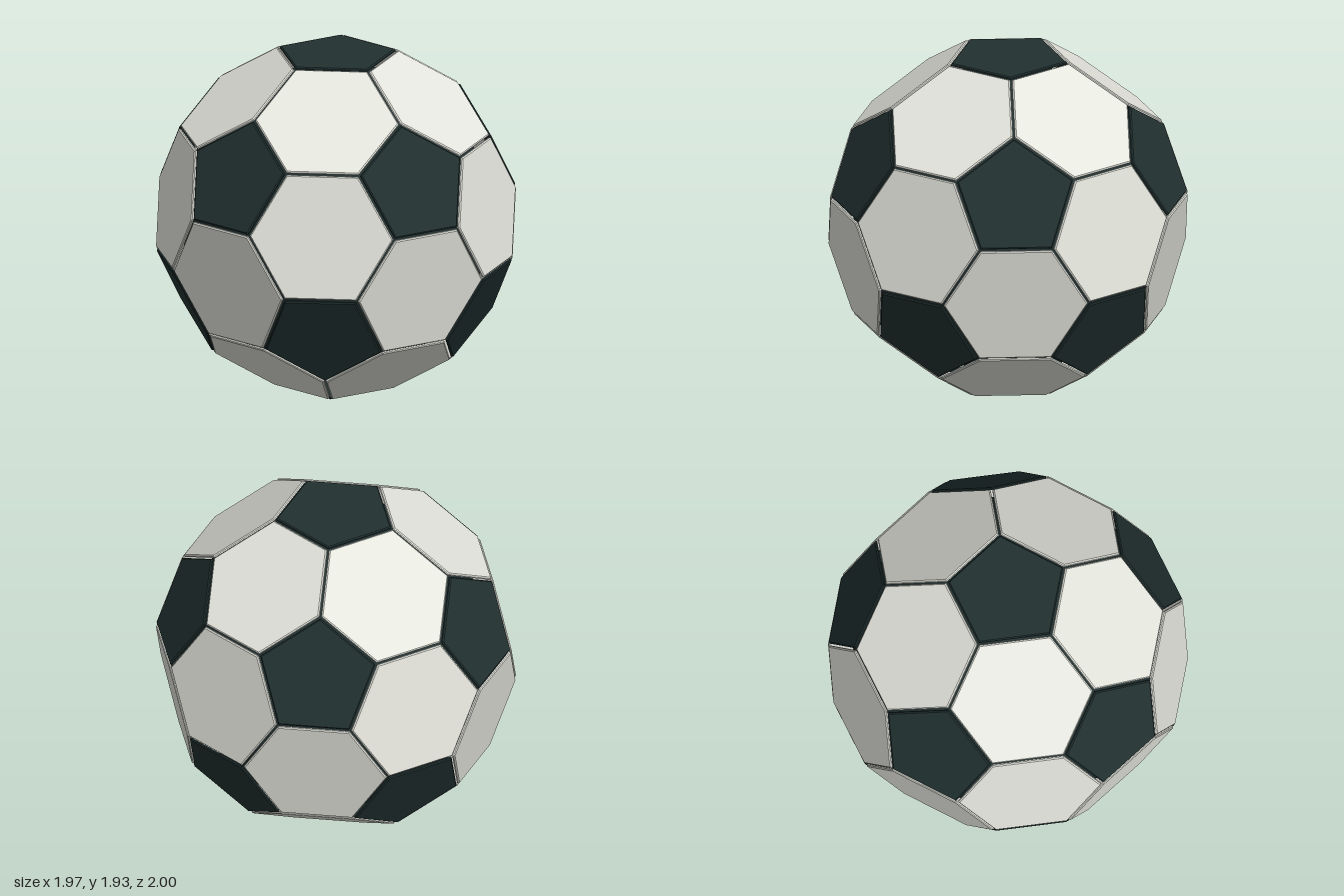
import * as THREE from 'three';

const SIZE = 1.18;      // circumradius of the guiding icosahedron
const HEIGHT = 0.9625;  // centre of the ball above the ground

// Twelve corners: two poles and two staggered rings of five
function icosahedronCorners() {
  const corners = [new THREE.Vector3(0, 1, 0), new THREE.Vector3(0, -1, 0)];
  for (let i = 0; i < 5; i++) {
    for (const [offset, side] of [[0, 1], [Math.PI / 5, -1]]) {
      const a = offset + (i * 2 * Math.PI) / 5;
      corners.push(new THREE.Vector3(2 * Math.cos(a), side, 2 * Math.sin(a)).normalize());
    }
  }
  return corners.map((c) => c.multiplyScalar(SIZE));
}

// Thin regular plate with a chamfered rim; outer face at y = 0, first corner at +z
function plateGeometry(sides, radius) {
  const k = 1 / Math.cos(Math.PI / sides);
  const rim = radius - 0.01 * k;
  const face = radius - 0.016 * k;
  const profile = [[0, -0.014], [rim, -0.014], [rim, -0.006], [face, 0], [0, 0]];
  const lathe = new THREE.LatheGeometry(profile.map(([x, y]) => new THREE.Vector2(x, y)), sides);
  const flat = lathe.toNonIndexed();
  flat.computeVertexNormals();
  return flat;
}

export function createModel() {
  const ball = new THREE.Group();
  ball.name = 'ball';
  const white = new THREE.MeshStandardMaterial({ color: 0xe4e5dd });
  white.name = 'panel white';
  const dark = new THREE.MeshStandardMaterial({ color: 0x213030 });
  dark.name = 'panel dark';

  const corners = icosahedronCorners();
  const edge = SIZE * 1.0515;
  const near = (a, b) => a !== b && a.distanceTo(b) < edge * 1.1;
  const cut = (a, b) => a.clone().lerp(b, 1 / 3);

  const side = edge / 3;
  const pentagon = plateGeometry(5, side * 0.8507);
  const hexagon = plateGeometry(6, side);

  // Places a plate at its centre, turned so a corner meets the given point
  function addPanel(name, geometry, material, centre, corner) {
    const normal = centre.clone().normalize();
    const toCorner = corner.clone().sub(centre).normalize();
    const across = new THREE.Vector3().crossVectors(normal, toCorner);
    const panel = new THREE.Mesh(geometry, material);
    panel.name = name;
    panel.quaternion.setFromRotationMatrix(new THREE.Matrix4().makeBasis(across, normal, toCorner));
    panel.position.copy(centre);
    ball.add(panel);
  }

  // Dark pentagons, one at each corner
  for (const a of corners) {
    const points = corners.filter((b) => near(a, b)).map((b) => cut(a, b));
    const centre = new THREE.Vector3();
    points.forEach((p) => centre.addScaledVector(p, 1 / points.length));
    addPanel('pentagonPanel', pentagon, dark, centre, points[0]);
  }

  // White hexagons, one for each triangular face
  corners.forEach((a, i) => corners.forEach((b, j) => corners.forEach((c, k) => {
    if (!(i < j && j < k && near(a, b) && near(b, c) && near(a, c))) return;
    const centre = a.clone().add(b).add(c).divideScalar(3);
    addPanel('hexagonPanel', hexagon, white, centre, cut(a, b));
  })));

  // Dark core seen through the seams
  const core = new THREE.Mesh(new THREE.SphereGeometry(0.865, 48, 32), dark);
  core.name = 'core';
  ball.add(core);

  ball.position.y = HEIGHT;
  const model = new THREE.Group();
  model.name = 'panelledBall';
  model.add(ball);
  return model;
}
